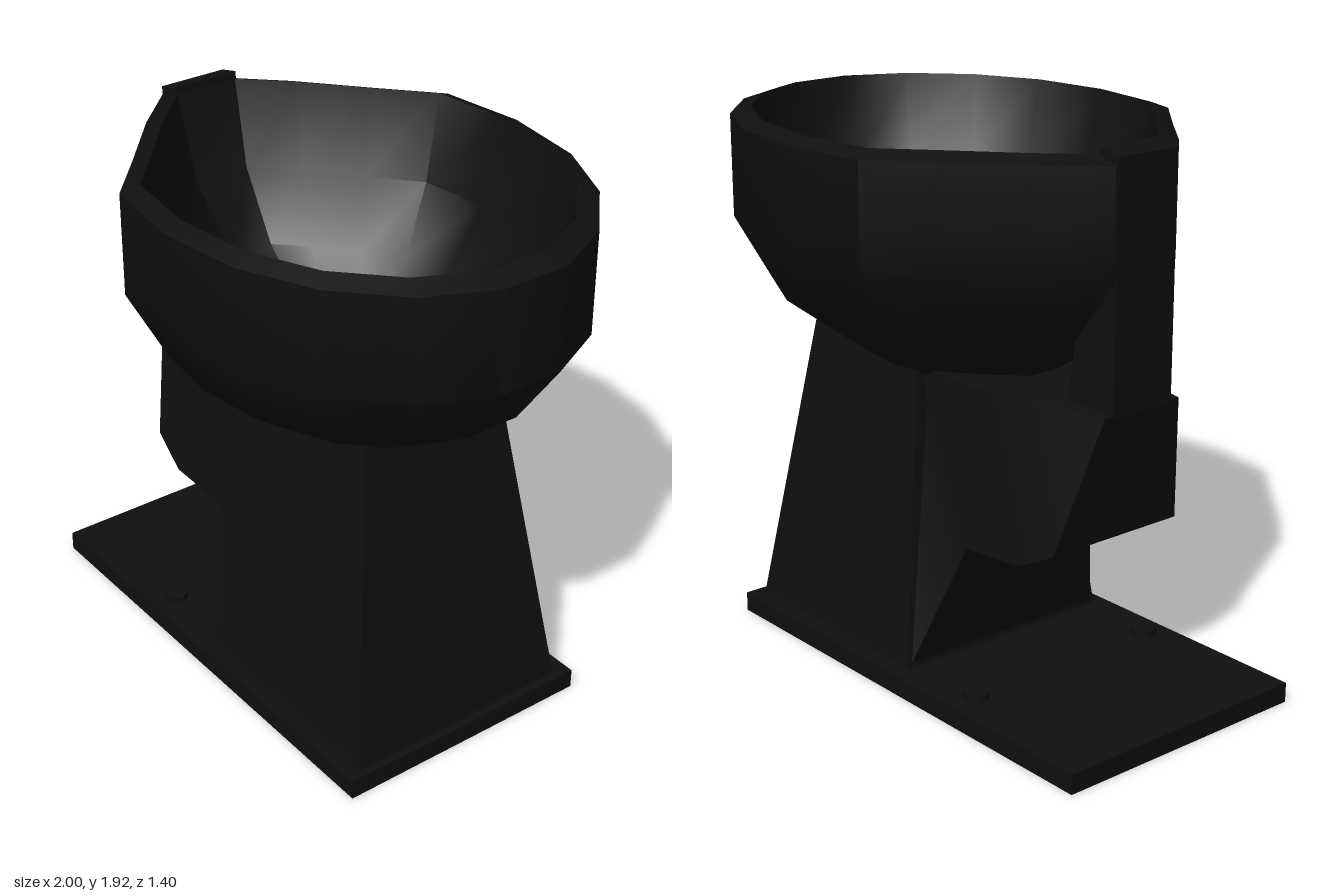
import * as THREE from 'three';
import { toCreasedNormals } from 'three/addons/utils/BufferGeometryUtils.js';

const material = new THREE.MeshStandardMaterial({ color: 0x0f0f0f });

function add(parent, name, geometry) {
  const mesh = new THREE.Mesh(geometry, material);
  mesh.name = name;
  parent.add(mesh);
  return mesh;
}

// Closed solid through a series of rings with equal point counts
function loft(rings, crease = 0.6) {
  const n = rings[0].length;
  const positions = rings.flat(2);
  const index = [];
  for (let r = 0; r < rings.length - 1; r++) {
    for (let i = 0; i < n; i++) {
      const a = r * n + i, b = r * n + (i + 1) % n;
      index.push(a, b, b + n, a, b + n, a + n);
    }
  }
  const cap = (r, flip) => {
    const c = positions.length / 3;
    for (let k = 0; k < 3; k++) positions.push(rings[r].reduce((s, p) => s + p[k], 0) / n);
    for (let i = 0; i < n; i++) {
      const a = r * n + i, b = r * n + (i + 1) % n;
      if (flip) index.push(c, b, a); else index.push(c, a, b);
    }
  };
  cap(0, true);
  cap(rings.length - 1, false);
  const g = new THREE.BufferGeometry();
  g.setAttribute('position', new THREE.Float32BufferAttribute(positions, 3));
  g.setIndex(index);
  return toCreasedNormals(g, crease);
}

// Bowl: one plan outline scaled at each height, up the outside and down the inside
function bowlGeometry() {
  const half = [[1, 0.12], [0.89, 0.35], [0.69, 0.54], [0.43, 0.66], [0.12, 0.7],
    [-0.19, 0.66], [-0.38, 0.49], [-0.6, 0.3], [-0.765, 0.13]];
  const outline = [
    ...half.map(([x, z]) => [x, -z]),
    ...half.slice().reverse(),
  ];
  const cx = 0.12;
  // height, x scale, z scale
  const levels = [
    [1.06, 0.42, 0.39], [1.2, 0.67, 0.66], [1.29, 0.82, 0.83], [1.52, 1, 1],
    [1.875, 1, 1], [1.9, 0.91, 0.91],
    [1.6, 0.82, 0.8], [1.38, 0.62, 0.6], [1.22, 0.35, 0.38],
  ];
  return loft(levels.map(([y, sx, sz]) =>
    outline.map(([x, z]) => [cx + (x - cx) * sx, y, z * sz])));
}

// Rectangular horizontal section
const rect = (y, x0, x1, z) => [[x1, y, z], [x1, y, -z], [x0, y, -z], [x0, y, z]];

// Upright section across the drain housing
const station = (xt, yt, zt, xb, yb, zb) =>
  [[xt, yt, -zt], [xt, yt, zt], [xb, yb, zb], [xb, yb, -zb]];

export function createModel() {
  const model = new THREE.Group();
  model.name = 'toilet';

  // Floor plate
  add(model, 'basePlate', new THREE.BoxGeometry(1.78, 0.07, 0.97)).position.set(-0.11, 0.035, -0.005);

  // Floor bolts
  for (const side of [-1, 1]) {
    add(model, 'floorBolt', new THREE.CylinderGeometry(0.045, 0.045, 0.03, 8))
      .position.set(-0.415, 0.08, side * 0.385);
  }

  // Tapered foot under the bowl
  add(model, 'pedestal', loft([rect(0.06, -0.11, 0.75, 0.43), rect(1.18, 0.01, 0.57, 0.28)]));

  // Drain housing behind the pedestal
  add(model, 'drainHousing', loft([
    station(-0.77, 1.09, 0.16, -0.66, 0.62, 0.27),
    station(-0.5, 1.09, 0.22, -0.51, 0.545, 0.29),
    station(-0.23, 1.09, 0.28, -0.23, 0.51, 0.27),
    station(0.05, 1.09, 0.26, -0.1, 0.065, 0.42),
  ]));

  add(model, 'bowl', bowlGeometry());

  // Water inlet column at the back of the bowl
  const profile = new THREE.Shape([[-0.77, 1.08], [-0.555, 1.08], [-0.59, 1.29], [-0.64, 1.55],
    [-0.69, 1.88], [-0.69, 1.925], [-0.77, 1.905]].map(([x, y]) => new THREE.Vector2(x, y)));
  const column = new THREE.ExtrudeGeometry(profile, { depth: 0.25, bevelEnabled: false });
  column.translate(0, 0, -0.125);
  add(model, 'inletColumn', column);

  return model;
}
